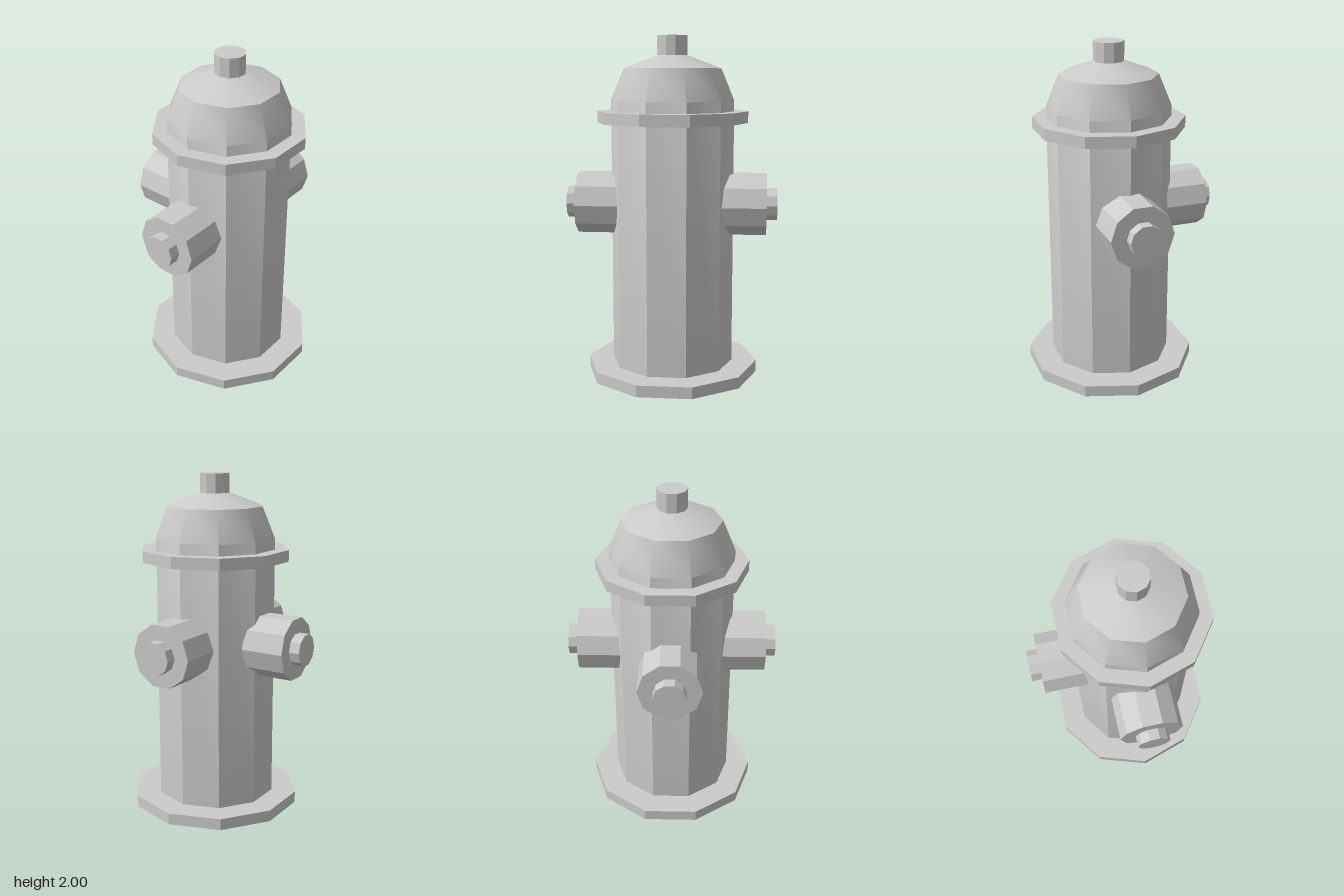
import * as THREE from 'three';
import { toCreasedNormals } from 'three/addons/utils/BufferGeometryUtils.js';

const SIDES = 10;

export function createModel() {
  const model = new THREE.Group();
  model.name = 'fireHydrant';
  const material = new THREE.MeshStandardMaterial({ color: 0xcccccc, side: THREE.DoubleSide });

  // Ten-sided turned part; profile is a list of [radius, height], bottom to top
  function turned(name, profile, parent, phiStart = Math.PI / 2) {
    const points = profile.map(([r, y]) => new THREE.Vector2(r, y));
    const lathe = new THREE.LatheGeometry(points, SIDES, phiStart);
    const mesh = new THREE.Mesh(toCreasedNormals(lathe, 0.6), material);
    mesh.name = name;
    parent.add(mesh);
    return mesh;
  }

  // Square-edged ring around the barrel
  const ring = (inner, outer, y0, y1) =>
    [[inner, y0], [outer, y0], [outer, y1], [inner, y1], [inner, y0]];

  // Upright parts share one axis, set slightly forward of the centre
  const hydrant = new THREE.Group();
  hydrant.name = 'hydrant';
  hydrant.position.z = 0.067;
  model.add(hydrant);

  turned('baseFlange', ring(0.36, 0.508, 0, 0.068), hydrant);
  // Hollow barrel, open at the bottom, closed by the dome
  turned('barrelAndDome',
    [[0.36, 0], [0.36, 1.63], [0.285, 1.813], [0.088, 1.888], [0, 1.9]], hydrant);
  turned('collar', ring(0.36, 0.442, 1.5, 1.567), hydrant);
  turned('topNut', [[0.088, 1.87], [0.088, 2], [0, 2]], hydrant);

  // Outlets on the left, back and right, each with an end nut
  ['left', 'back', 'right'].forEach((side, i) => {
    const outlet = new THREE.Group();
    outlet.name = side + 'Outlet';
    outlet.position.y = 1.027;
    outlet.rotation.y = i * Math.PI / 2;
    hydrant.add(outlet);
    const parts = [
      turned('nozzle', [[0.185, 0.3], [0.185, 0.555], [0, 0.555]], outlet, 0),
      turned('nozzleNut', [[0.095, 0.54], [0.095, 0.618], [0, 0.618]], outlet, 0),
    ];
    parts.forEach((part) => { part.rotation.z = -Math.PI / 2; });
  });

  return model;
}
